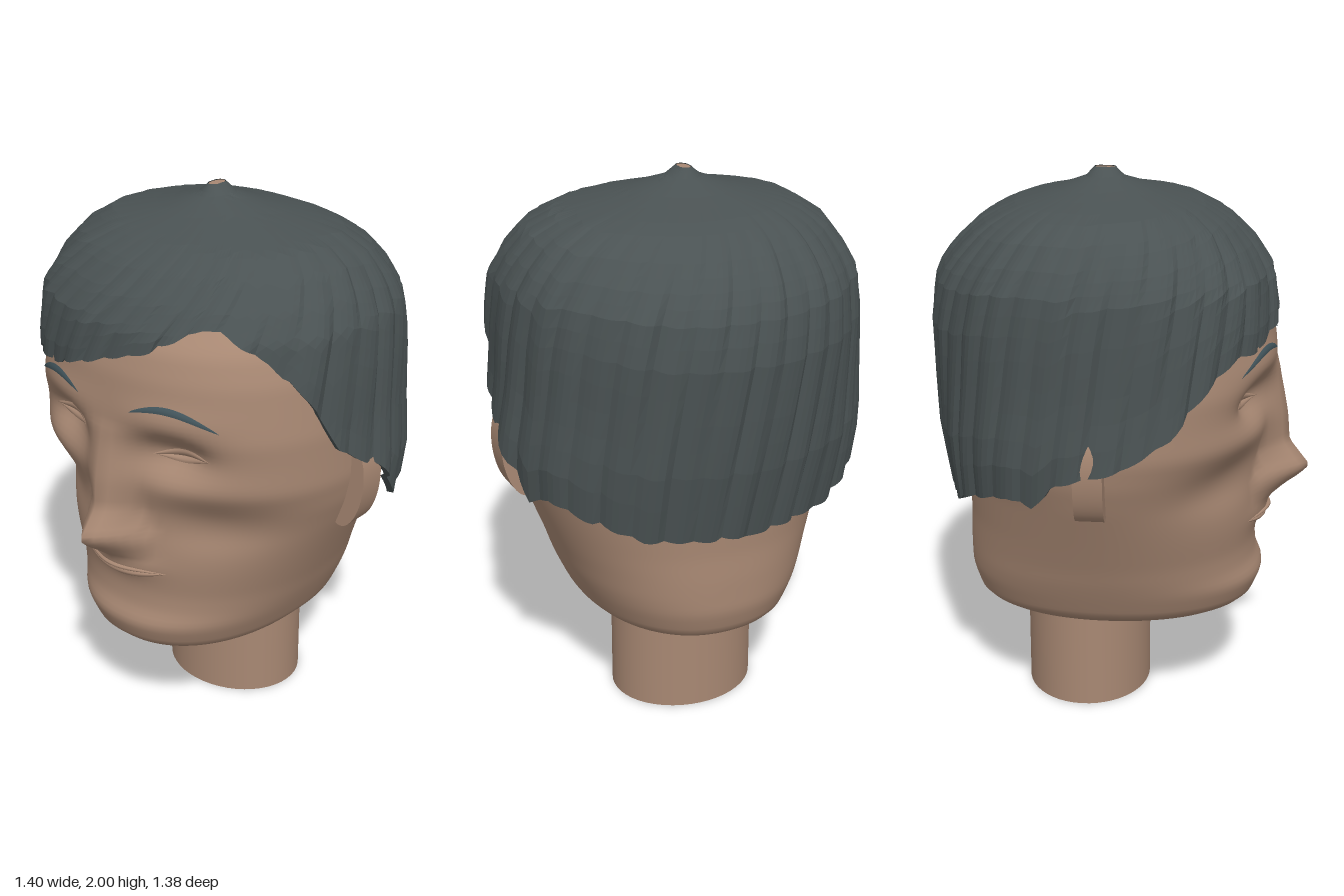
import * as THREE from 'three';

const skin = new THREE.MeshStandardMaterial({ color: 0xa88873, side: THREE.DoubleSide });
const hair = new THREE.MeshStandardMaterial({ color: 0x4a5253, side: THREE.DoubleSide });
const brow = new THREE.MeshStandardMaterial({ color: 0x43565d, side: THREE.DoubleSide });
skin.name = 'skin';
hair.name = 'hair';
brow.name = 'brow';

// Linear lookup in a table whose first column ascends
function look(table, key, col) {
  if (key <= table[0][0]) return table[0][col];
  for (let i = 1; i < table.length; i++) {
    const a = table[i - 1], b = table[i];
    if (key <= b[0]) return a[col] + (b[col] - a[col]) * (key - a[0]) / (b[0] - a[0]);
  }
  return table[table.length - 1][col];
}

// Lookup softened over a small height, to round the creases at the table rows
const soft = (table, key, col) =>
  [-0.02, -0.01, 0, 0.01, 0.02].reduce((sum, d) => sum + look(table, key + d, col) / 5, 0);

// Surface from fn(row, col) -> [x, y, z]; rows run upwards, columns towards +x at the front
function grid(rows, cols, fn, closed) {
  const pos = [], index = [];
  const n = closed ? cols : cols + 1;
  for (let i = 0; i <= rows; i++) for (let j = 0; j < n; j++) pos.push(...fn(i, j));
  for (let i = 0; i < rows; i++) for (let j = 0; j < cols; j++) {
    const k = (j + 1) % n;
    const a = i * n + j, b = i * n + k, c = a + n, d = b + n;
    index.push(a, b, d, a, d, c);
  }
  const geo = new THREE.BufferGeometry();
  geo.setAttribute('position', new THREE.Float32BufferAttribute(pos, 3));
  geo.setIndex(index);
  geo.computeVertexNormals();
  return geo;
}

// Head sections: height, half width, front z, back z, squareness
const SECTIONS = [
  [0.31, 0.11, 0.2, -0.3, 2.1], [0.35, 0.27, 0.36, -0.43, 2.15], [0.41, 0.38, 0.495, -0.545, 2.2],
  [0.51, 0.425, 0.535, -0.575, 2.2], [0.57, 0.45, 0.505, -0.575, 2.2], [0.64, 0.475, 0.5, -0.575, 2.15],
  [0.74, 0.515, 0.51, -0.57, 2.1], [0.9, 0.58, 0.52, -0.575, 2], [1.0, 0.615, 0.525, -0.58, 2.05],
  [1.1, 0.635, 0.54, -0.59, 2.2], [1.3, 0.635, 0.565, -0.59, 2.25], [1.5, 0.61, 0.545, -0.58, 2.25],
  [1.6, 0.575, 0.515, -0.56, 2.25], [1.7, 0.5, 0.43, -0.5, 2.2], [1.8, 0.38, 0.27, -0.38, 2.1],
  [1.86, 0.2, 0.08, -0.2, 2],
];
// Nose: height, projection, half width
const NOSE = [
  [0.77, 0, 0.13], [0.81, 0.07, 0.15], [0.86, 0.14, 0.16], [0.9, 0.178, 0.15],
  [0.94, 0.145, 0.13], [1.0, 0.095, 0.12], [1.1, 0.07, 0.12], [1.2, 0.04, 0.12], [1.32, 0, 0.14],
];
const MID = -0.05;

const blob = (x, y, cx, cy, sx, sy) => Math.exp(-(((x - cx) / sx) ** 2) - ((y - cy) / sy) ** 2);

// Nose, eye sockets, cheekbones, hollow cheeks, brow ridge, mouth
function relief(x, y) {
  const ax = Math.abs(x);
  const ridge = Math.max(0, 1 - ax / look(NOSE, y, 2)) ** 0.85;
  return look(NOSE, y, 1) * ridge
    - 0.085 * blob(ax, y, 0.25, 1.23, 0.13, 0.08)
    + 0.012 * blob(ax, y, 0.4, 1.12, 0.2, 0.06)
    - 0.04 * blob(ax, y, 0.36, 0.95, 0.2, 0.1)
    + 0.035 * blob(ax, y, 0, 0.755, 0.13, 0.045)
    + 0.015 * blob(ax, y, 0.25, 1.36, 0.16, 0.06);
}

function faceZ(x, y) {
  const w = soft(SECTIONS, y, 1), depth = soft(SECTIONS, y, 2) - MID, power = soft(SECTIONS, y, 4);
  const q = Math.max(0, 1 - Math.abs(x / w) ** power) ** (1 / power);
  return MID + depth * q + relief(x, y) * Math.min(1, q * 1.6);
}

function headGeometry() {
  const rows = 82, cols = 128;
  return grid(rows, cols, (i, j) => {
    const y = 0.31 + 1.55 * Math.min(1, Math.max(0, (i - 1) / (rows - 2)));
    const t = j / cols * Math.PI * 2, s = Math.sin(t), c = Math.cos(t);
    if (i === 0 || i === rows) return [0, y, MID];
    const bend = 2 / soft(SECTIONS, y, 4);
    const x = soft(SECTIONS, y, 1) * Math.sign(s) * Math.abs(s) ** bend;
    if (c > 0) return [x, y, faceZ(x, y)];
    return [x, y, MID - (MID - soft(SECTIONS, y, 3)) * Math.abs(c) ** bend];
  }, true);
}

// Thin strip lying on the face between two height curves, raised in the middle
function strip(x0, x1, low, high, lift, bulge) {
  return grid(4, 24, (i, j) => {
    const t = j / 24, x = x0 + (x1 - x0) * t, v = i / 4;
    const y = low(t) + (high(t) - low(t)) * v;
    return [x, y, faceZ(x, y) + lift + bulge * Math.sin(Math.PI * v) * Math.sin(Math.PI * t)];
  }, false);
}

// Hair radius from crown down: height, front, side, back
const CAP = [
  [2.0, 0.037, 0.02, 0.037], [1.965, 0.07, 0.07, 0.07], [1.925, 0.18, 0.21, 0.18],
  [1.88, 0.34, 0.43, 0.34], [1.82, 0.45, 0.53, 0.45], [1.74, 0.53, 0.59, 0.53],
  [1.65, 0.59, 0.635, 0.59], [1.5, 0.615, 0.65, 0.62], [1.3, 0.615, 0.66, 0.61],
  [1.1, 0.615, 0.685, 0.595], [0.83, 0.615, 0.66, 0.555],
];
// Hairline: angle from the front in degrees, height
const HAIRLINE = [
  [-180, 0.83], [-144, 0.86], [-129, 0.92], [-114, 0.97], [-106, 0.95], [-98, 1.04], [-90, 1.07],
  [-80, 1.1], [-66, 1.2], [-53, 1.35], [-43, 1.43], [-29, 1.43], [-9, 1.5], [0, 1.54], [18, 1.61],
  [35, 1.7], [41, 1.69], [54, 1.6], [67, 1.43], [76, 1.25], [85, 1.18], [93, 1.12], [100, 1.03],
  [106, 0.94], [114, 0.98], [129, 0.92], [144, 0.86], [180, 0.83],
];
const capByIndex = CAP.map((r, i) => [i, ...r]);
const capByHeight = CAP.map((r, i) => [r[0], i]).reverse();
const LOCK = [0, 0.55, 0.9, 1, 0.7];

function hairGeometry() {
  const rows = 22, cols = 36 * LOCK.length;
  const geo = grid(rows, cols, (i, j) => {
    const root = (j / cols * 2 - 1) * Math.PI;
    const lock = Math.floor(j / LOCK.length), rise = LOCK[j % LOCK.length];
    const vary = ((lock * 17) % 23) / 23;
    const edge = look(HAIRLINE, root * 180 / Math.PI, 1) + 0.012 * (vary - rise * 0.6);
    // Row 0 turns inwards to give the hairline its thickness
    const v = Math.max(0, (i - 1) / (rows - 1));
    const k = look(capByHeight, edge, 1) * (1 - v);
    const y = look(capByIndex, k, 1);
    // Locks sweep round towards the crown, most of all over the forehead
    const turn = Math.cos(root);
    const t = root + (0.35 + 0.08 * turn + 0.25 * turn * turn) * v;
    const s = Math.sin(t), c = Math.cos(t);
    let r = look(capByIndex, k, c > 0 ? 2 : 4) * c * c + look(capByIndex, k, 3) * s * s;
    const body = Math.min(1, r / 0.6) ** 3;
    r *= 1 + (c > 0 ? 0.028 : 0.01) * Math.sin(2 * t) ** 2 * body;
    r += body * ((0.006 + 0.013 * vary) * rise + 0.004 * Math.sin(v * 9 + lock * 2.4));
    if (i === 0) r -= 0.025;
    return [r * s - 0.04 * Math.max(0, 1 - r / 0.5), y, -0.06 + r * c];
  }, true).toNonIndexed();
  geo.computeVertexNormals();
  return geo;
}

export function createModel() {
  const model = new THREE.Group();
  model.name = 'headBust';
  const add = (name, geo, mat) => {
    const mesh = new THREE.Mesh(geo, mat);
    mesh.name = name;
    model.add(mesh);
  };

  add('head', headGeometry(), skin);
  // Neck: hollow tube, open below
  add('neck', new THREE.CylinderGeometry(1, 1, 0.42, 48, 1, true).scale(0.275, 1, 0.235).translate(0, 0.21, -0.13), skin);
  add('hair', hairGeometry(), hair);
  add('crown', new THREE.CylinderGeometry(1, 1, 0.02, 20).scale(0.02, 1, 0.037).translate(-0.038, 1.988, -0.06), skin);

  // Lips, with a parting line between them
  const smile = (t) => 0.745 - 0.014 * Math.sin(Math.PI * t);
  add('upperLip', strip(-0.2, 0.2, smile, (t) => smile(t) + 0.022 * Math.sin(Math.PI * t), 0.003, 0.012), skin);
  add('lowerLip', strip(-0.2, 0.2, (t) => smile(t) - 0.035 * Math.sin(Math.PI * t), smile, 0.003, 0.014), skin);

  for (const side of [-1, 1]) {
    const label = side > 0 ? 'left' : 'right';
    const span = (a, b) => (side > 0 ? [a, b] : [-b, -a]);
    const inner = (t) => (side > 0 ? t : 1 - t);

    // Ear: flat oval set into the side of the head, leaning outwards
    add(label + 'Ear', new THREE.CylinderGeometry(1, 1, 0.1, 40).rotateX(Math.PI / 2)
      .scale(0.075, 0.17, 1).rotateZ(-side * 0.12).translate(side * 0.612, 1.06, -0.05), skin);

    // Arched eyebrow
    const arch = (t) => 1.385 - 0.03 * inner(t) + 0.034 * Math.sin(Math.PI * t);
    add(label + 'Eyebrow', strip(...span(0.12, 0.42), arch,
      (t) => arch(t) + 0.025 * Math.max(0, Math.sin(Math.PI * t)) ** 0.7, 0.006, 0.003), brow);

    // Nearly closed eyelids
    const slit = (t) => 1.218 + 0.01 * inner(t);
    const bow = (t, h) => h * Math.sin(Math.PI * t);
    add(label + 'UpperLid', strip(...span(0.16, 0.37), slit, (t) => slit(t) + bow(t, 0.028), 0.003, 0.008), skin);
    add(label + 'LowerLid', strip(...span(0.17, 0.36), (t) => slit(t) - bow(t, 0.023), slit, 0.002, 0.006), skin);
  }
  return model;
}
